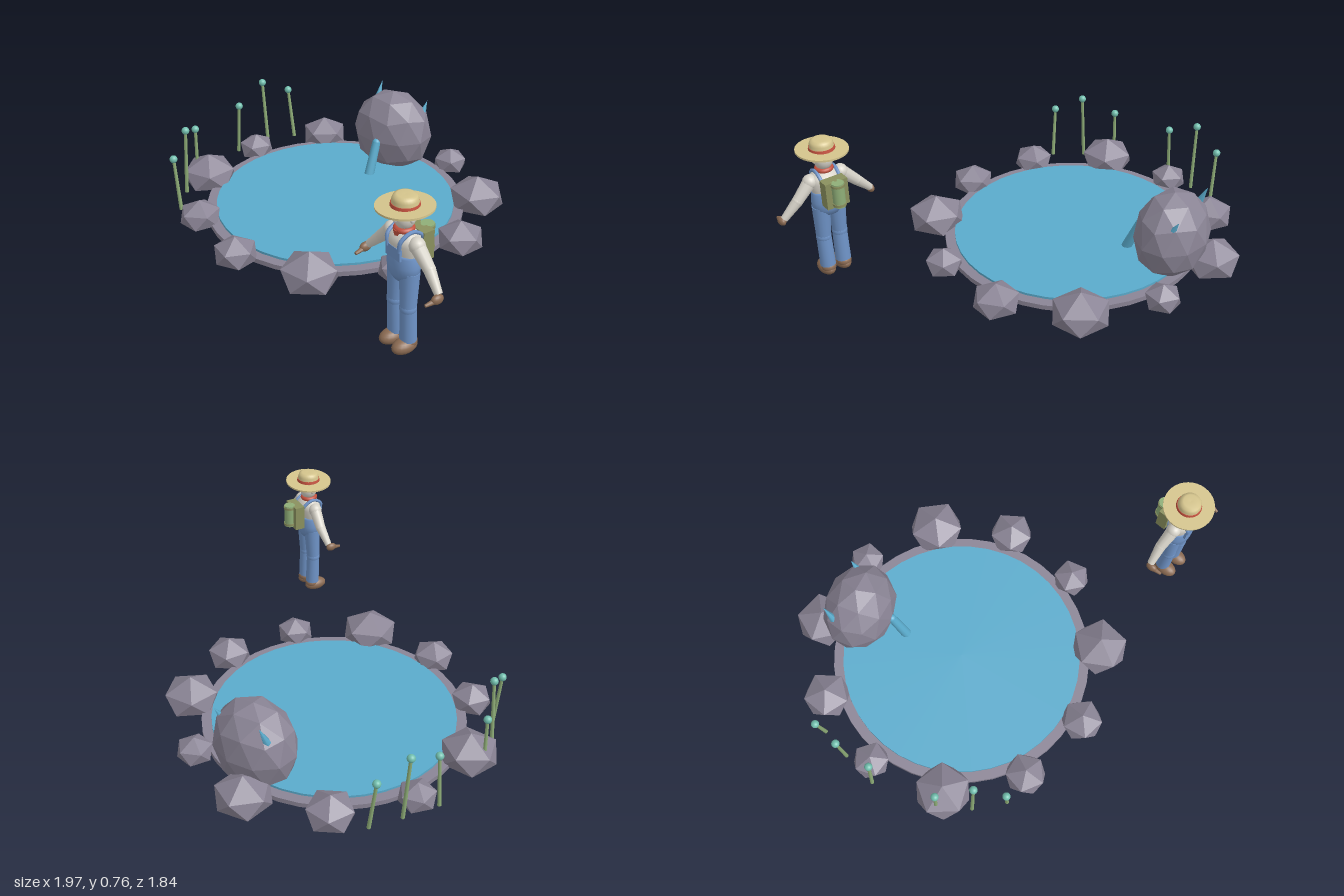
import * as THREE from 'three';

const mat = (name, color) => {
  const m = new THREE.MeshStandardMaterial({ color });
  m.name = name;
  return m;
};
const V = (x, y, z) => new THREE.Vector3(x, y, z);

export function createModel() {
  const rock = mat('stone', 0x8a8495), water = mat('water', 0x5aabcc), green = mat('reed green', 0x8fae78),
    teal = mat('teal', 0x72bfae), cream = mat('cream', 0xd6d2c8), denim = mat('denim', 0x6f94c8),
    brown = mat('brown', 0x8a6a52), straw = mat('straw', 0xd4c48c), red = mat('red', 0xc4523f),
    olive = mat('olive', 0x8a905e);
  const root = new THREE.Group();
  root.name = 'pondScene';

  const add = (parent, name, geo, material, x = 0, y = 0, z = 0) => {
    const m = new THREE.Mesh(geo, material);
    m.name = name;
    m.position.set(x, y, z);
    parent.add(m);
    return m;
  };
  // Tapered rod from point a to point b
  const rod = (parent, name, a, b, ra, rb, material, sides = 12) => {
    const d = b.clone().sub(a);
    const m = add(parent, name, new THREE.CylinderGeometry(rb, ra, d.length(), sides), material);
    m.position.copy(a).addScaledVector(d, 0.5);
    m.quaternion.setFromUnitVectors(V(0, 1, 0), d.normalize());
    return m;
  };
  const ball = (parent, name, material, x, y, z, rx, ry = rx, rz = rx) => {
    const m = add(parent, name, new THREE.SphereGeometry(1, 18, 12), material, x, y, z);
    m.scale.set(rx, ry, rz);
    return m;
  };
  // Faceted stone, vertex up, flattened where it meets the ground
  const stone = (name, detail, turn, x, y, z, rx, ry, rz) => {
    const g = new THREE.IcosahedronGeometry(1, detail);
    g.rotateX(-Math.atan((1 + Math.sqrt(5)) / 2)).rotateY(turn).scale(rx, ry, rz).translate(x, y, z);
    const p = g.attributes.position;
    for (let i = 0; i < p.count; i++) p.setY(i, Math.max(0.01, p.getY(i)));
    g.computeVertexNormals();
    add(root, name, g, rock);
  };

  // Pond
  const cx = -0.165, cz = -0.05;
  add(root, 'pondRim', new THREE.CylinderGeometry(0.665, 0.665, 0.025, 40), rock, cx, 0.0125, cz);
  add(root, 'pondWater', new THREE.CylinderGeometry(0.615, 0.615, 0.03, 40), water, cx, 0.022, cz);

  // Stones around the edge: x, z, radius
  [[0.57, -0.06, 0.115], [0.45, 0.33, 0.095], [0.14, 0.6, 0.145], [-0.26, 0.65, 0.107],
    [-0.625, 0.485, 0.105], [-0.86, 0.135, 0.142], [-0.85, -0.26, 0.093], [-0.625, -0.605, 0.121],
    [-0.26, -0.79, 0.14], [0.14, -0.72, 0.09], [0.45, -0.45, 0.143]].forEach(([x, z, r], i) => {
    stone('edgeStone' + (i + 1), 0, i * 0.9, x, 0.035, z, r * 1.07, r * 0.93, r * 1.07);
  });

  // Large boulder with crystals and a small cascade
  stone('boulder', 1, 0.3, cx, 0.195, -0.61, 0.224, 0.235, 0.182);
  rod(root, 'leftCrystal', V(-0.31, 0.28, -0.66), V(-0.305, 0.42, -0.72), 0.028, 0, water, 6);
  rod(root, 'rightCrystal', V(-0.02, 0.29, -0.665), V(-0.01, 0.375, -0.71), 0.024, 0, water, 6);
  rod(root, 'cascade', V(-0.16, 0.03, -0.365), V(-0.16, 0.195, -0.435), 0.026, 0.022, water);
  ball(root, 'cascadeTop', water, -0.16, 0.195, -0.435, 0.022);

  // Reeds: head x, head z, height, lean
  [[-0.83, -0.54, 0.295, 0.035], [-0.895, -0.39, 0.38, 0.025], [-0.925, -0.215, 0.295, -0.02],
    [-0.94, 0.135, 0.295, -0.005], [-0.855, 0.3, 0.38, -0.025], [-0.81, 0.45, 0.295, 0.025]]
    .forEach(([x, z, h, lean], i) => {
      rod(root, 'reedStem' + (i + 1), V(x + lean, 0.01, z), V(x, h, z), 0.01, 0.008, green, 8);
      ball(root, 'reedHead' + (i + 1), teal, x, h, z, 0.02);
    });

  // Farmer
  const man = new THREE.Group();
  man.name = 'farmer';
  man.position.set(0.745, 0, 0.77);
  man.rotation.y = -0.35;
  root.add(man);
  const lathe = (name, pts, material, zs) => {
    const m = add(man, name, new THREE.LatheGeometry(pts.map(p => new THREE.Vector2(...p)), 28), material);
    m.scale.z = zs;
    return m;
  };
  lathe('shirt', [[0.066, 0.44], [0.074, 0.5], [0.088, 0.545], [0.078, 0.575], [0.04, 0.598], [0, 0.605]], cream, 0.7);
  lathe('trouserWaist', [[0, 0.355], [0.055, 0.365], [0.08, 0.4], [0.083, 0.44], [0.077, 0.485], [0.07, 0.495], [0, 0.495]], denim, 0.75);
  for (const s of [-1, 1]) {
    const side = s > 0 ? 'left' : 'right';
    // Legs and boots
    rod(man, side + 'LowerLeg', V(s * 0.042, 0.07, 0), V(s * 0.043, 0.235, 0.006), 0.038, 0.036, denim, 16);
    rod(man, side + 'UpperLeg', V(s * 0.043, 0.235, 0.006), V(s * 0.04, 0.41, 0), 0.036, 0.044, denim, 16);
    ball(man, side + 'Knee', denim, s * 0.043, 0.235, 0.006, 0.038);
    ball(man, side + 'Boot', brown, s * 0.043, 0.045, 0.02, 0.04, 0.035, 0.064);
    ball(man, side + 'BootAnkle', brown, s * 0.042, 0.06, -0.005, 0.037, 0.03, 0.037);
    // Arms and hands
    const shoulder = V(s * 0.08, 0.555, 0), elbow = V(s * 0.155, 0.48, -0.005), wrist = V(s * 0.228, 0.405, 0.005);
    ball(man, side + 'Shoulder', cream, s * 0.08, 0.555, 0, 0.036);
    rod(man, side + 'UpperArm', shoulder, elbow, 0.034, 0.027, cream);
    ball(man, side + 'Elbow', cream, elbow.x, elbow.y, elbow.z, 0.027);
    rod(man, side + 'Forearm', elbow, wrist, 0.027, 0.018, cream);
    ball(man, side + 'Hand', brown, s * 0.236, 0.392, 0.018, 0.018, 0.022, 0.03);
    rod(man, side + 'Fingers', V(s * 0.236, 0.388, 0.03), V(s * 0.23, 0.38, 0.075), 0.013, 0.007, brown, 8);
    // Straps over the shoulders
    const path = new THREE.CatmullRomCurve3([V(s * 0.036, 0.52, 0.056), V(s * 0.043, 0.57, 0.054),
      V(s * 0.048, 0.6, 0), V(s * 0.045, 0.56, -0.058), V(s * 0.035, 0.48, -0.058)]);
    add(man, side + 'Strap', new THREE.TubeGeometry(path, 20, 0.009, 6), denim);
    // Face
    ball(man, side + 'Eye', brown, s * 0.018, 0.665, 0.044, 0.007, 0.006, 0.004);
    const brow = add(man, side + 'Brow', new THREE.BoxGeometry(0.024, 0.006, 0.006), brown, s * 0.02, 0.679, 0.043);
    brow.rotation.z = s * 0.3;
    ball(man, side + 'Ear', cream, s * 0.047, 0.655, 0, 0.009, 0.014, 0.01);
  }
  add(man, 'bib', new THREE.BoxGeometry(0.09, 0.055, 0.012), denim, 0, 0.505, 0.054);
  ball(man, 'head', cream, 0, 0.655, 0, 0.047, 0.058, 0.048);
  ball(man, 'nose', cream, 0, 0.653, 0.048, 0.009, 0.01, 0.012);
  add(man, 'neck', new THREE.CylinderGeometry(0.03, 0.034, 0.04, 16), cream, 0, 0.6, 0);
  add(man, 'neckerchief', new THREE.TorusGeometry(0.034, 0.012, 8, 24).rotateX(Math.PI / 2), red, 0, 0.602, 0.002);
  const knot = add(man, 'neckerchiefPoint', new THREE.ConeGeometry(0.026, 0.04, 4), red, 0, 0.583, 0.045);
  knot.rotation.x = Math.PI - 0.15;
  knot.scale.z = 0.4;

  // Straw hat
  const hat = new THREE.Group();
  hat.name = 'hat';
  hat.position.y = 0.7;
  man.add(hat);
  const brim = new THREE.CylinderGeometry(0.124, 0.124, 0.009, 36, 1);
  brim.translate(0, 0.002, 0);
  add(hat, 'hatBrim', brim, straw).rotation.z = 0.06;
  add(hat, 'hatCrown', new THREE.LatheGeometry([[0.06, 0], [0.056, 0.035], [0.05, 0.05], [0.035, 0.057], [0, 0.055]]
    .map(p => new THREE.Vector2(...p)), 28), straw);
  add(hat, 'hatBand', new THREE.CylinderGeometry(0.06, 0.063, 0.014, 28), red, 0, 0.014, 0);

  // Backpack with a rolled canister
  add(man, 'backpack', new THREE.BoxGeometry(0.115, 0.135, 0.055), olive, 0, 0.51, -0.083);
  add(man, 'canister', new THREE.CylinderGeometry(0.03, 0.03, 0.125, 18), green, 0, 0.515, -0.12);
  for (const y of [0.465, 0.565]) add(man, 'canisterBand', new THREE.CylinderGeometry(0.033, 0.033, 0.012, 18), olive, 0, y, -0.12);

  return root;
}
